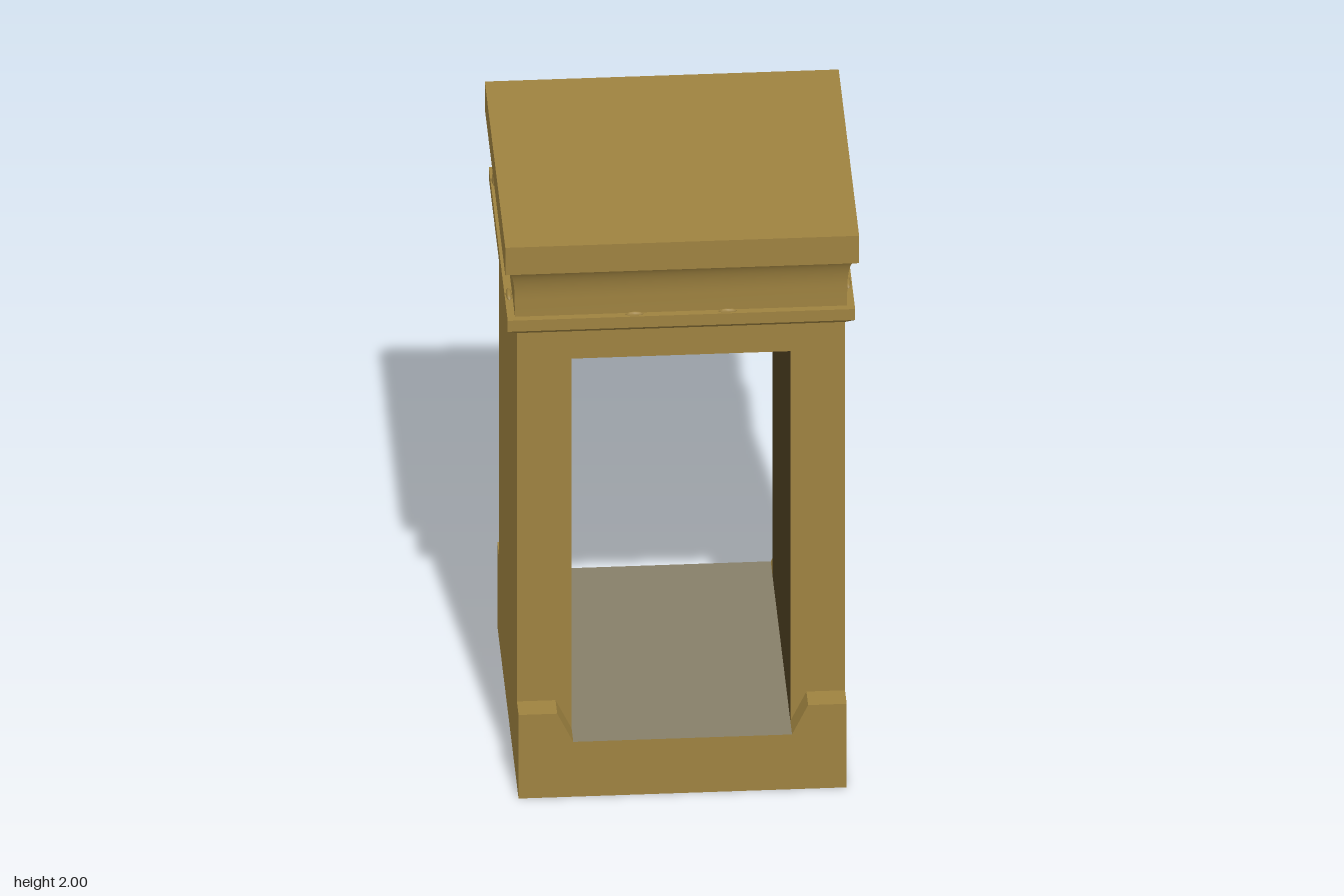
import * as THREE from 'three';
import { toCreasedNormals } from 'three/addons/utils/BufferGeometryUtils.js';

const material = (name, color) =>
  new THREE.MeshStandardMaterial({ name, color, side: THREE.DoubleSide });

function fromQuads(quads) {
  const pos = [];
  for (const [a, b, c, d] of quads) pos.push(...a, ...b, ...c, ...a, ...c, ...d);
  const g = new THREE.BufferGeometry();
  g.setAttribute('position', new THREE.Float32BufferAttribute(pos, 3));
  g.computeVertexNormals();
  return g;
}

// Sweeps an x,y polyline along z as an open sheet
function sheet(points, z0, z1) {
  const quads = [];
  for (let i = 0; i < points.length - 1; i++) {
    const [p, q] = [points[i], points[i + 1]];
    quads.push([[...p, z0], [...q, z0], [...q, z1], [...p, z1]]);
  }
  return fromQuads(quads);
}

// Joins rectangular rings [halfX, y, halfZ] from bottom to top
function loft(rings) {
  const ring = ([x, y, z]) => [[x, y, z], [x, y, -z], [-x, y, -z], [-x, y, z]];
  const quads = [];
  for (let i = 0; i < rings.length - 1; i++) {
    const lo = ring(rings[i]), hi = ring(rings[i + 1]);
    for (let k = 0; k < 4; k++) {
      const n = (k + 1) % 4;
      quads.push([lo[k], lo[n], hi[n], hi[k]]);
    }
  }
  quads.push(ring(rings[rings.length - 1]).reverse().map((p) => p));
  const top = quads[quads.length - 1];
  quads[quads.length - 1] = [top[3], top[2], top[1], top[0]].reverse();
  return toCreasedNormals(fromQuads(quads), Math.PI / 7);
}

const panel = (points) =>
  new THREE.ShapeGeometry(new THREE.Shape(points.map(([x, y]) => new THREE.Vector2(x, y))));

export function createModel() {
  const model = new THREE.Group();
  const gold = material('ochre stone', 0x9e8240);
  const shade = material('dark interior', 0x4f4122);
  const grey = material('grey floor', 0x877f69);
  const add = (name, geometry, mat) => {
    const mesh = new THREE.Mesh(geometry, mat);
    mesh.name = name;
    model.add(mesh);
    return mesh;
  };

  const W = 0.51, D = 0.43, B = 0.51;        // half width, body depth, base depth
  const IN = 0.34, SL = 0.39;                // opening and notch half widths
  const FLOOR = 0.2, STEP = 0.305, HEAD = 1.55, TOP = 1.65;

  // Front and back faces: door frame and notched base
  const frame = [[W, STEP], [W, TOP], [-W, TOP], [-W, STEP], [-SL, STEP], [-IN, FLOOR],
    [-IN, HEAD], [IN, HEAD], [IN, FLOOR], [SL, STEP]];
  const plinth = [[-W, 0], [W, 0], [W, STEP], [SL, STEP], [IN, FLOOR],
    [-IN, FLOOR], [-SL, STEP], [-W, STEP]];
  for (const [side, turn] of [['front', 0], ['back', Math.PI]]) {
    add(side + 'Frame', panel(frame).translate(0, 0, D).rotateY(turn), gold);
    add(side + 'Base', panel(plinth).translate(0, 0, B).rotateY(turn), gold);
    // Steps and sloped cheeks on top of the base
    const [z0, z1] = turn ? [-B, -D] : [D, B];
    add(side + 'LeftStep', sheet([[W, STEP], [SL, STEP], [IN, FLOOR]], z0, z1), gold);
    add(side + 'RightStep', sheet([[-IN, FLOOR], [-SL, STEP], [-W, STEP]], z0, z1), gold);
  }

  // Side walls widen at the base
  const wall = [[-B, 0], [B, 0], [B, STEP], [D, STEP], [D, TOP], [-D, TOP], [-D, STEP], [-B, STEP]];
  add('leftWall', panel(wall).translate(0, 0, W).rotateY(Math.PI / 2), gold);
  add('rightWall', panel(wall).translate(0, 0, W).rotateY(-Math.PI / 2), gold);

  // Passage through the body
  add('passageLining', sheet([[-IN, FLOOR], [-IN, HEAD], [IN, HEAD], [IN, FLOOR]], -D, D), shade);
  add('floor', sheet([[IN, FLOOR], [-IN, FLOOR]], -B, B), grey);

  // Cornice: ledge, concave cove and flat cap
  const rings = [[W, TOP, D], [0.54, 1.67, 0.453], [0.54, 1.71, 0.453], [0.516, 1.71, D]];
  for (let i = 0; i <= 10; i++) {
    const a = (i / 10) * Math.PI / 2;
    rings.push([0.517 + 0.028 * (1 - Math.cos(a)), 1.77 + 0.13 * Math.sin(a),
      D + 0.058 * (1 - Math.cos(a))]);
  }
  rings.push([0.55, 1.9, 0.49], [0.55, 2, 0.49]);
  add('cornice', loft(rings), gold);

  // Small bumps resting on the ledge
  const bump = new THREE.SphereGeometry(1, 8, 5);
  for (const s of [-1, 1]) {
    for (const x of [-0.145, 0.145]) {
      const m = add('ledgeBump', bump, gold);
      m.position.set(x, 1.71, s * 0.44);
      m.scale.set(0.03, 0.01, 0.008);
    }
    for (const [z, r] of [[0.3, 0.015], [-0.37, 0.025]]) {
      const m = add('ledgeBump', bump, gold);
      m.position.set(s * 0.527, 1.71, z);
      m.scale.set(0.01, r, 0.035);
    }
  }
  return model;
}
